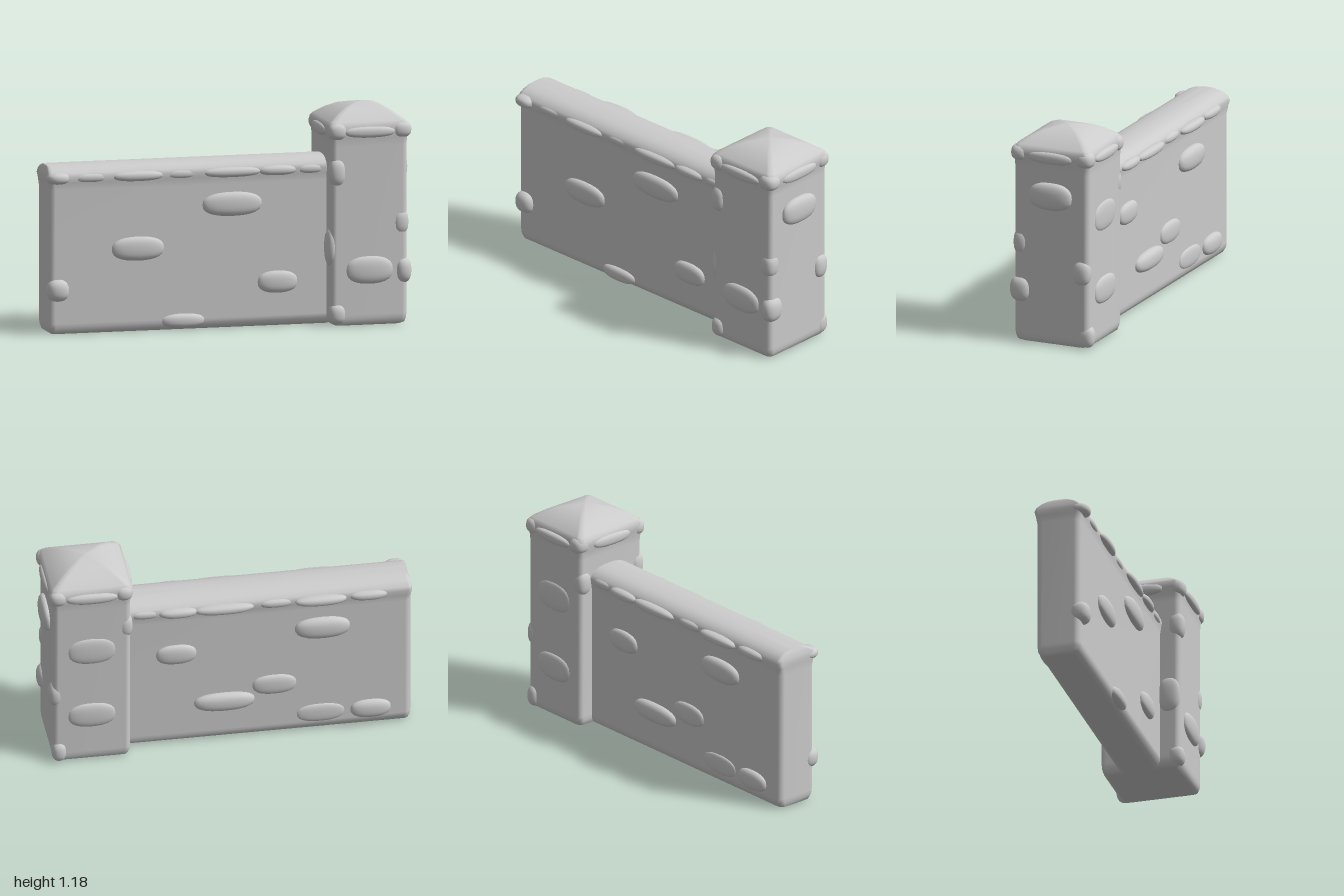
import * as THREE from 'three';

const material = new THREE.MeshStandardMaterial({ color: 0xcccccc });

// Smooth solid through rounded-rectangle sections [y, halfX, halfZ, cornerRadius]
function loft(name, sections, cx, cz) {
  const pos = [], idx = [], steps = 4, n = 4 * (steps + 1);
  for (const [y, hx, hz, r] of sections) {
    for (let q = 0; q < 4; q++) {
      const sx = q === 0 || q === 3 ? 1 : -1, sz = q < 2 ? 1 : -1;
      for (let s = 0; s <= steps; s++) {
        const a = (q + s / steps) * Math.PI / 2;
        pos.push(cx + sx * (hx - r) + r * Math.cos(a), y, cz + sz * (hz - r) + r * Math.sin(a));
      }
    }
  }
  for (let k = 0; k < sections.length - 1; k++) {
    for (let i = 0; i < n; i++) {
      const a = k * n + i, b = k * n + (i + 1) % n;
      idx.push(a, a + n, b, b, a + n, b + n);
    }
  }
  // Close both ends
  const top = (sections.length - 1) * n;
  pos.push(cx, sections[0][0], cz, cx, sections.at(-1)[0], cz);
  for (let i = 0; i < n; i++) {
    const j = (i + 1) % n;
    idx.push(top + n, i, j, top + n + 1, top + j, top + i);
  }
  const g = new THREE.BufferGeometry();
  g.setAttribute('position', new THREE.Float32BufferAttribute(pos, 3));
  g.setIndex(idx);
  g.computeVertexNormals();
  const mesh = new THREE.Mesh(g, material);
  mesh.name = name;
  return mesh;
}

// Worn stone: a sphere squared off by a power rule
function makeStoneGeometry() {
  const g = new THREE.SphereGeometry(1, 20, 14);
  const p = g.attributes.position;
  const square = (v, e) => Math.sign(v) * Math.abs(v) ** e;
  for (let i = 0; i < p.count; i++) {
    p.setXYZ(i, square(p.getX(i), 0.85), square(p.getY(i), 0.8), square(p.getZ(i), 0.8));
  }
  // Outward normals of the squared-off form
  const nrm = g.attributes.normal, v = new THREE.Vector3();
  const slope = (c, e) => Math.sign(c) * Math.abs(c) ** (2 / e - 1) / e;
  for (let i = 0; i < p.count; i++) {
    v.set(slope(p.getX(i), 0.85), slope(p.getY(i), 0.8), slope(p.getZ(i), 0.8)).normalize();
    nrm.setXYZ(i, v.x, v.y, v.z);
  }
  return g;
}

export function createModel() {
  const model = new THREE.Group();
  model.name = 'stoneWallWithPost';
  const stoneGeometry = makeStoneGeometry();

  function stones(name, list) {
    const group = new THREE.Group();
    group.name = name;
    for (const [x, y, z, w, h, d] of list) {
      const m = new THREE.Mesh(stoneGeometry, material);
      m.name = 'stone';
      m.position.set(x, y, z);
      m.scale.set(w / 2, h / 2, d / 2);
      group.add(m);
    }
    model.add(group);
  }

  // Wall with a gently arched top
  const zc = -0.01;
  model.add(loft('wall', [
    [0, 0.765, 0.085, 0.03], [0.01, 0.78, 0.105, 0.03], [0.035, 0.787, 0.12, 0.035],
    [0.06, 0.79, 0.122, 0.035], [0.78, 0.79, 0.122, 0.035], [0.82, 0.793, 0.128, 0.03],
    [0.85, 0.796, 0.133, 0.02], [0.87, 0.793, 0.125, 0.02], [0.89, 0.788, 0.1, 0.02],
    [0.902, 0.783, 0.07, 0.02], [0.908, 0.78, 0.03, 0.01]
  ], -0.2, zc));

  // Post with a pillow-shaped square cap
  model.add(loft('post', [
    [0, 0.18, 0.19, 0.03], [0.01, 0.2, 0.21, 0.03], [0.035, 0.208, 0.218, 0.03],
    [0.06, 0.21, 0.22, 0.03], [0.97, 0.21, 0.22, 0.03], [1.01, 0.213, 0.223, 0.03],
    [1.05, 0.222, 0.228, 0.03], [1.08, 0.222, 0.225, 0.03], [1.1, 0.205, 0.21, 0.03],
    [1.135, 0.155, 0.16, 0.025], [1.162, 0.1, 0.105, 0.02], [1.175, 0.045, 0.045, 0.01],
    [1.18, 0.01, 0.01, 0.005]
  ], 0.75, 0));

  // Stones under the wall's top edge: x, width, front reach, back reach
  const row = [
    [-0.76, 0.21, 0.13, 0.165], [-0.5, 0.28, 0.148, 0.18], [-0.26, 0.2, 0.128, 0.155],
    [0.02, 0.32, 0.146, 0.178], [0.27, 0.21, 0.145, 0.173], [0.45, 0.17, 0.13, 0.152]
  ];
  stones('frontEdgeStones', row.map(([x, w, f]) => [x, 0.842, f - 0.04, w, 0.055, 0.08]));
  stones('backEdgeStones', row.map(([x, w, , b]) => [x, 0.842, 0.04 - b, w, 0.055, 0.08]));

  // Stones standing out of the wall faces
  stones('wallFrontStones', [
    [0.02, 0.67, 0.11, 0.33, 0.13, 0.075], [-0.5, 0.45, 0.11, 0.29, 0.13, 0.075],
    [0.27, 0.24, 0.11, 0.22, 0.12, 0.07], [-0.25, 0.05, 0.1, 0.24, 0.08, 0.08],
    [-0.94, 0.24, 0.1, 0.12, 0.12, 0.11], [-0.94, 0.845, 0.1, 0.12, 0.065, 0.11]
  ]);
  stones('wallBackStones', [
    [0.28, 0.57, -0.13, 0.22, 0.12, 0.06], [-0.51, 0.66, -0.13, 0.3, 0.13, 0.085],
    [0.02, 0.24, -0.13, 0.33, 0.11, 0.085], [-0.25, 0.32, -0.13, 0.24, 0.12, 0.05],
    [-0.5, 0.11, -0.13, 0.26, 0.11, 0.035], [-0.77, 0.11, -0.13, 0.22, 0.11, 0.07]
  ]);

  // Stones on the post faces and corners
  stones('postFaceStones', [
    [0.75, 0.3, 0.215, 0.26, 0.15, 0.07], [0.75, 0.7, -0.215, 0.26, 0.16, 0.04],
    [0.75, 0.29, -0.215, 0.26, 0.15, 0.05], [0.965, 0.83, 0, 0.07, 0.15, 0.25]
  ]);
  stones('postCornerStones', [
    [0.575, 0.83, 0.195, 0.09, 0.15, 0.09], [0.575, 0.065, 0.195, 0.09, 0.11, 0.09],
    [0.925, 0.55, 0.185, 0.09, 0.14, 0.09], [0.94, 0.29, 0.185, 0.09, 0.14, 0.12],
    [0.94, 0.42, -0.175, 0.08, 0.14, 0.1], [0.925, 0.065, -0.195, 0.08, 0.12, 0.09],
    [0.565, 0.83, -0.18, 0.08, 0.14, 0.09], [0.55, 0.42, 0.16, 0.06, 0.2, 0.12]
  ]);
  stones('capStones', [
    [0.75, 1.045, 0.222, 0.28, 0.06, 0.055], [0.75, 1.045, -0.222, 0.28, 0.06, 0.06],
    [0.965, 1.045, 0, 0.05, 0.065, 0.26], [0.535, 1.045, 0, 0.05, 0.065, 0.26],
    [0.575, 1.05, 0.2, 0.1, 0.09, 0.09], [0.93, 1.05, 0.19, 0.11, 0.09, 0.1],
    [0.575, 1.05, -0.19, 0.1, 0.09, 0.1], [0.93, 1.05, -0.19, 0.1, 0.09, 0.1]
  ]);
  return model;
}
